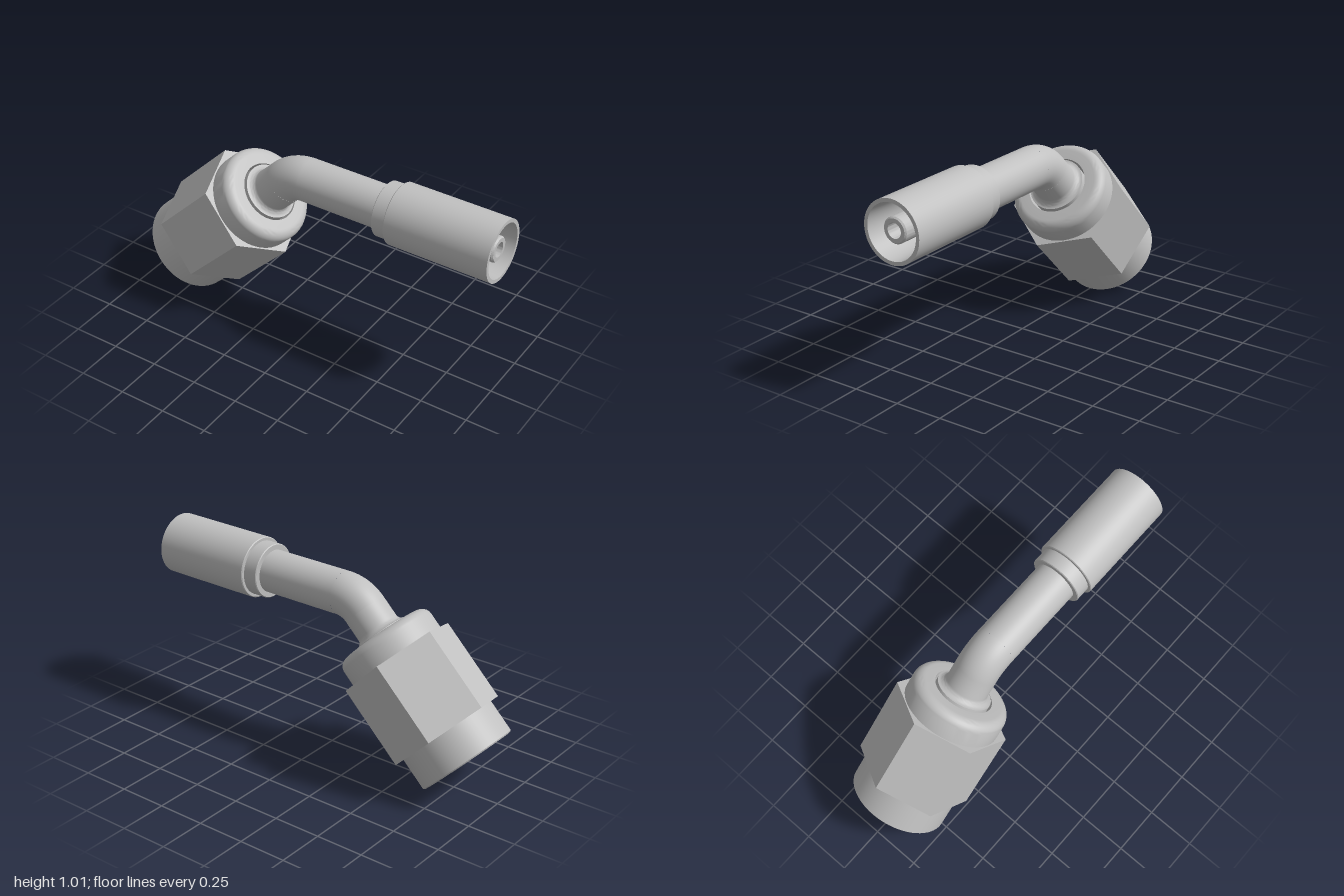
import * as THREE from 'three';
import { toCreasedNormals } from 'three/addons/utils/BufferGeometryUtils.js';

const steel = new THREE.MeshStandardMaterial({ color: 0xc0c0c0 });
steel.name = 'steel';

function part(name, geometry, parent) {
  const mesh = new THREE.Mesh(geometry, steel);
  mesh.name = name;
  parent.add(mesh);
  return mesh;
}

// Revolve a [radius, height] profile around y, keeping hard edges sharp
function turned(profile) {
  const points = profile.map(([r, y]) => new THREE.Vector2(r, y));
  return toCreasedNormals(new THREE.LatheGeometry(points, 64), 0.6);
}

// Profile points of a quarter fillet between two angles
function fillet(cx, cy, r, from, to, steps = 8) {
  return Array.from({ length: steps + 1 }, (_, i) => {
    const a = from + (to - from) * i / steps;
    return [cx + r * Math.cos(a), cy + r * Math.sin(a)];
  });
}

export function createModel() {
  const model = new THREE.Group();
  model.name = 'elbowHoseFitting';
  const axisY = 0.853, bendR = 0.19, bendX = -0.07, tubeR = 0.11;

  // Swivel end, tilted 45 degrees
  const swivel = new THREE.Group();
  swivel.name = 'swivelEnd';
  swivel.position.set(-0.821, 0.18, 0);
  swivel.rotation.z = -Math.PI / 4;
  model.add(swivel);

  // Hollow round nut body with a rounded shoulder
  part('nutBody', turned([
    [0.238, 0], [0.247, 0], [0.253, 0.006], [0.253, 0.6],
    ...fillet(0.203, 0.68, 0.05, 0, Math.PI / 2),
    [0.153, 0.73], [0.153, 0.5], [0.222, 0.44], [0.222, 0.018], [0.238, 0],
  ]), swivel);

  // Hexagonal wrench section around the body
  const hex = new THREE.Shape();
  for (let i = 0; i < 6; i++) {
    const a = i * Math.PI / 3 - 0.134;
    hex[i ? 'lineTo' : 'moveTo'](0.3 * Math.cos(a), 0.3 * Math.sin(a));
  }
  hex.closePath();
  hex.holes.push(new THREE.Path().absarc(0, 0, 0.24, 0, Math.PI * 2, true));
  const hexGeometry = new THREE.ExtrudeGeometry(hex, { depth: 0.428, bevelEnabled: false, curveSegments: 32 });
  hexGeometry.rotateX(-Math.PI / 2).translate(0, 0.172, 0);
  part('nutHexagon', hexGeometry, swivel);

  // Tube stem with sealing nose inside the nut and flared collar above it
  part('stem', turned([
    [0.075, 0.24], [0.12, 0.24], [0.19, 0.36], [0.19, 0.46], [0.143, 0.505], [0.143, 0.738],
    ...fillet(0.143, 0.771, 0.033, -Math.PI / 2, -Math.PI),
    [tubeR, 0.874], [0.075, 0.874], [0.075, 0.24],
  ]), swivel);

  // 45 degree bend
  const bend = part('bend', new THREE.TorusGeometry(bendR, tubeR, 48, 24, Math.PI / 4), model);
  bend.position.set(bendX, axisY - bendR, 0);
  bend.rotation.z = Math.PI / 2;

  // Horizontal hose end, revolved around x
  const hoseEnd = new THREE.Group();
  hoseEnd.name = 'hoseEnd';
  hoseEnd.position.y = axisY;
  hoseEnd.rotation.z = -Math.PI / 2;
  model.add(hoseEnd);

  part('straightTube', turned([[tubeR, bendX], [tubeR, 0.4]]), hoseEnd);
  part('collar', turned([[0.1, 0.373], [0.136, 0.373], [0.14, 0.377], [0.14, 0.46]]), hoseEnd);

  // Crimp shell, open at the hose side
  part('crimpShell', turned([
    [0.1, 0.449], [0.154, 0.449], [0.158, 0.453], [0.158, 1],
    [0.139, 1], [0.118, 0.55], [0, 0.55],
  ]), hoseEnd);

  // Hollow nipple inside the shell
  part('nipple', turned([
    [0.065, 0.54], [0.065, 0.972], [0.058, 0.98], [0.038, 0.98], [0.038, 0.6], [0, 0.6],
  ]), hoseEnd);

  return model;
}
